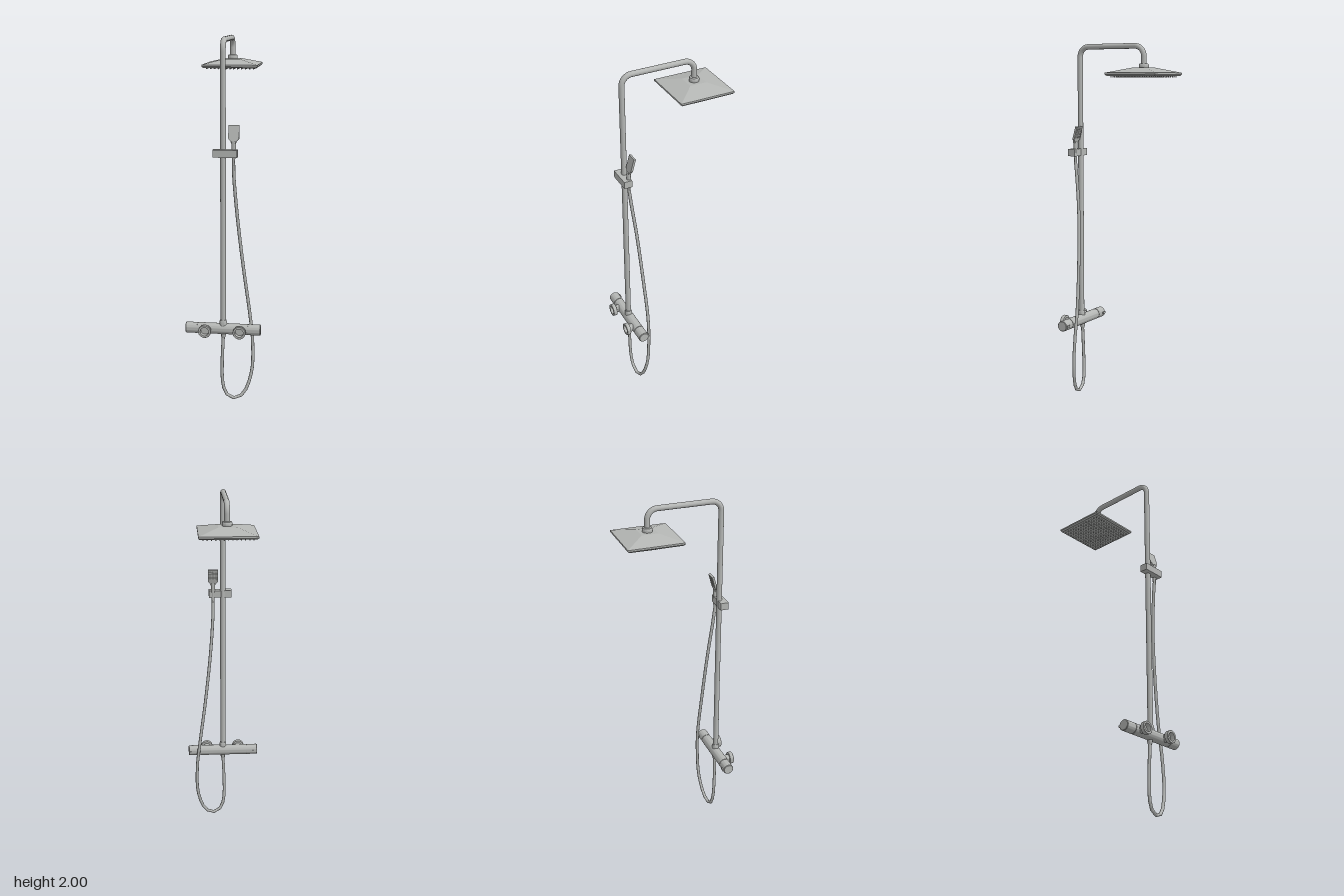
import * as THREE from 'three';
import { mergeGeometries, toCreasedNormals } from 'three/addons/utils/BufferGeometryUtils.js';

const chrome = new THREE.MeshStandardMaterial({ color: 0xb4b6b4 });
chrome.name = 'brushed chrome';

const V = (x, y, z) => new THREE.Vector3(x, y, z);

function add(parent, name, geometry, x = 0, y = 0, z = 0) {
  const mesh = new THREE.Mesh(geometry, chrome);
  mesh.name = name;
  mesh.position.set(x, y, z);
  parent.add(mesh);
  return mesh;
}

// Turned part with crisp edges; profile is [radius, height] from bottom to top
function turned(profile, sides = 32) {
  const points = profile.map(([r, h]) => new THREE.Vector2(r, h));
  return toCreasedNormals(new THREE.LatheGeometry(points, sides), 0.6);
}

// Square frustum given by half widths
function frustum(top, bottom, height) {
  const g = new THREE.CylinderGeometry(top * Math.SQRT2, bottom * Math.SQRT2, height, 4);
  g.rotateY(Math.PI / 4);
  return toCreasedNormals(g, 0.1);
}

// Grid of small nozzles pointing along y
function nozzles(nx, nz, pitchX, pitchZ, radius, height) {
  const list = [];
  for (let i = 0; i < nx; i++) {
    for (let j = 0; j < nz; j++) {
      const g = new THREE.CylinderGeometry(radius, radius * 0.7, height, 6);
      g.translate((i - (nx - 1) / 2) * pitchX, 0, (j - (nz - 1) / 2) * pitchZ);
      list.push(g);
    }
  }
  return mergeGeometries(list);
}

// Quarter bend between two points around a corner
function bend(a, corner, b) {
  const k = 0.5523;
  return new THREE.CubicBezierCurve3(a, a.clone().lerp(corner, k), b.clone().lerp(corner, k), b);
}

export function createModel() {
  const model = new THREE.Group();
  model.name = 'showerColumn';
  const pipeZ = 0.247, headZ = -0.162, topY = 1.985, valveY = 0.423, R = 0.055;

  // Riser pipe with overhead arm
  const path = new THREE.CurvePath();
  const p = [
    V(0, 0.44, pipeZ), V(0, topY - R, pipeZ), V(0, topY, pipeZ - R),
    V(0, topY, headZ + R), V(0, topY - R, headZ), V(0, 1.87, headZ),
  ];
  path.add(new THREE.LineCurve3(p[0], p[1]));
  path.add(bend(p[1], V(0, topY, pipeZ), p[2]));
  path.add(new THREE.LineCurve3(p[2], p[3]));
  path.add(bend(p[3], V(0, topY, headZ), p[4]));
  path.add(new THREE.LineCurve3(p[4], p[5]));
  add(model, 'riserPipe', new THREE.TubeGeometry(path, 200, 0.015, 20));

  // Overhead shower
  const head = new THREE.Group();
  head.name = 'overheadShower';
  head.position.z = headZ;
  model.add(head);
  add(head, 'headSlope', frustum(0.046, 0.153, 0.027), 0, 1.8545, 0);
  add(head, 'headRim', frustum(0.153, 0.153, 0.009), 0, 1.8365, 0);
  add(head, 'headFace', frustum(0.153, 0.146, 0.008), 0, 1.828, 0);
  add(head, 'headNozzles', nozzles(13, 13, 0.0215, 0.0215, 0.004, 0.008), 0, 1.8205, 0);
  add(head, 'headCollar', turned([
    [0, 1.862], [0.025, 1.862], [0.027, 1.868], [0.027, 1.884], [0.024, 1.889], [0.015, 1.891],
  ]));

  // Mixer valve with a handle at each end
  const valve = new THREE.Group();
  valve.name = 'mixerValve';
  valve.position.set(0, valveY, 0.245);
  model.add(valve);
  const body = turned([
    [0, -0.207], [0.027, -0.207], [0.03, -0.204], [0.03, -0.142], [0.027, -0.142], [0.027, -0.139],
    [0.03, -0.139], [0.03, 0.137], [0.027, 0.137], [0.027, 0.14], [0.03, 0.14], [0.03, 0.204],
    [0.027, 0.207], [0, 0.207],
  ]);
  body.rotateZ(-Math.PI / 2);
  add(valve, 'valveBody', body);
  for (const side of [-1, 1]) {
    add(valve, 'handleTab', new THREE.BoxGeometry(0.026, 0.012, 0.014), side * 0.191, 0, -0.0285);
    const flange = turned([
      [0, 0.01], [0.022, 0.01], [0.022, 0.045], [0.034, 0.045], [0.035, 0.047], [0.035, 0.066],
      [0.034, 0.067], [0.023, 0.067], [0.023, 0.04], [0, 0.04],
    ]);
    flange.rotateX(Math.PI / 2);
    add(valve, 'wallUnion', flange, side * 0.095, 0, 0);
  }
  add(valve, 'riserNut', turned([
    [0.02, 0.02], [0.02, 0.042], [0.017, 0.052], [0.015, 0.053],
  ]), 0, 0, 0.002);
  add(valve, 'hoseNut', turned([
    [0, -0.052], [0.01, -0.052], [0.014, -0.04], [0.014, -0.02],
  ]), 0, 0, -0.003);

  // Sliding holder
  add(model, 'holder', new THREE.BoxGeometry(0.13, 0.04, 0.045), 0.014, 1.398, 0.2595);

  // Hand shower: handle and tilted paddle
  const hand = new THREE.Group();
  hand.name = 'handShower';
  hand.position.set(0.056, 1.455, 0.246);
  model.add(hand);
  add(hand, 'handle', turned([
    [0, -0.12], [0.008, -0.12], [0.009, -0.09], [0.012, -0.04], [0.012, 0.006], [0, 0.006],
  ], 20));
  const paddle = new THREE.Group();
  paddle.name = 'paddle';
  paddle.rotation.x = -0.27;
  hand.add(paddle);
  const outline = new THREE.Shape([
    [-0.012, -0.005], [0.012, -0.005], [0.016, 0.005], [0.029, 0.02],
    [0.029, 0.092], [-0.029, 0.092], [-0.029, 0.02], [-0.016, 0.005],
  ].map(([x, y]) => new THREE.Vector2(x, y)));
  add(paddle, 'paddleBody', new THREE.ExtrudeGeometry(outline, { depth: 0.012, bevelEnabled: false }), 0, 0, -0.006);
  const spray = nozzles(6, 7, 0.0085, 0.0085, 0.002, 0.004);
  spray.rotateX(Math.PI / 2);
  add(paddle, 'paddleNozzles', spray, 0, 0.056, -0.007);

  // Flexible hose
  const hose = new THREE.CatmullRomCurve3([
    V(0, 0.385, 0.242), V(-0.007, 0.22, 0.24), V(-0.004, 0.1, 0.236), V(0.016, 0.035, 0.232),
    V(0.06, 0.011, 0.228), V(0.108, 0.037, 0.22), V(0.153, 0.16, 0.203), V(0.157, 0.34, 0.192),
    V(0.141, 0.49, 0.187), V(0.105, 0.76, 0.197), V(0.073, 1.05, 0.215), V(0.057, 1.27, 0.238),
    V(0.056, 1.345, 0.246),
  ]);
  add(model, 'hose', new THREE.TubeGeometry(hose, 40, 0.009, 10));

  return model;
}
